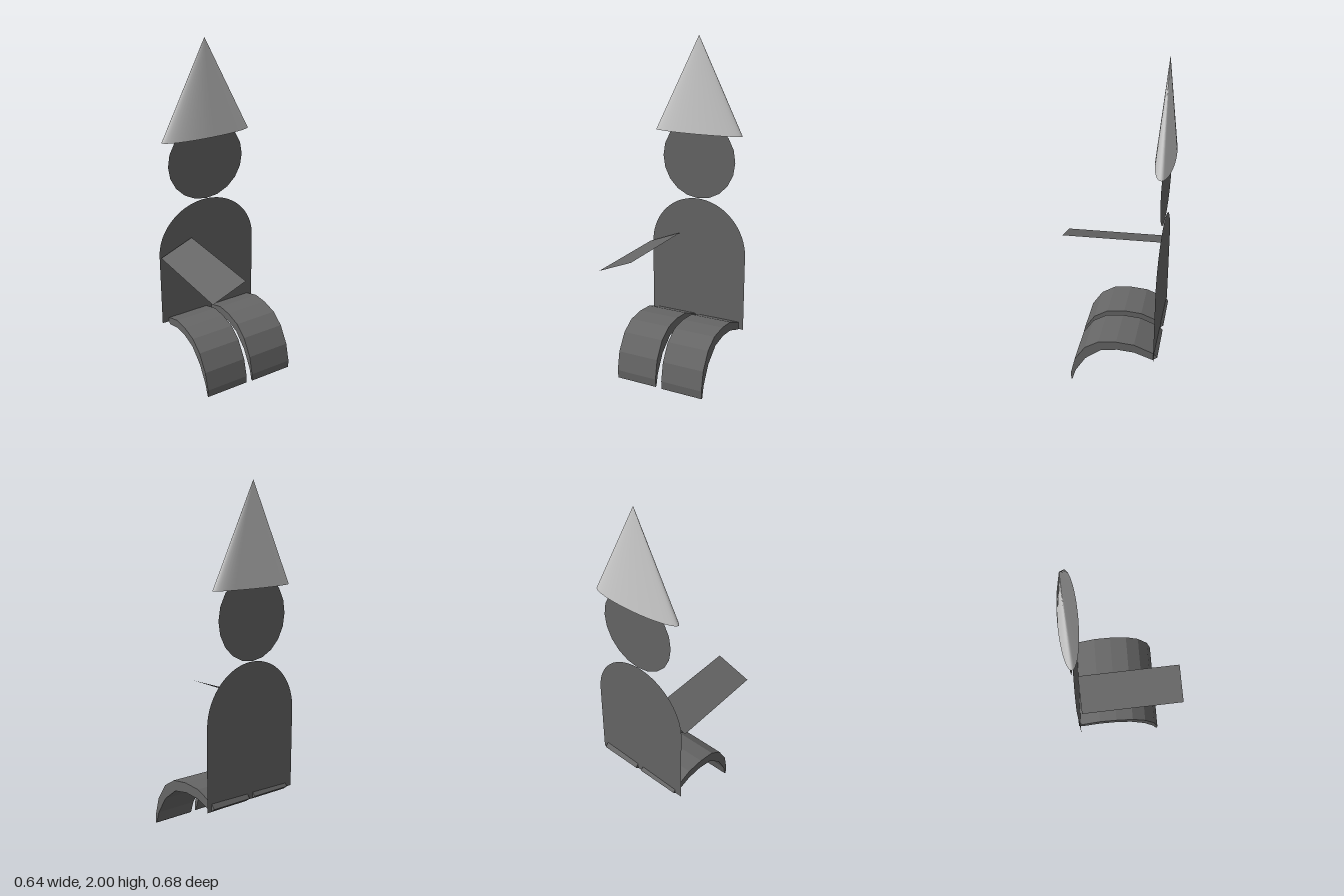
import * as THREE from 'three';

export function createModel() {
  const model = new THREE.Group();
  const light = new THREE.MeshStandardMaterial({ color: 0xcccccc });
  const dark = new THREE.MeshStandardMaterial({ color: 0x666666, side: THREE.DoubleSide });
  const legDark = new THREE.MeshStandardMaterial({ color: 0x666666, flatShading: true });
  const yaw = -0.034;
  const backZ = -0.29;

  function add(name, geometry, material, x, y, z) {
    const mesh = new THREE.Mesh(geometry, material);
    mesh.name = name;
    mesh.position.set(x, y, z);
    model.add(mesh);
    return mesh;
  }

  // Flattened pointed hat
  const hat = add('hat', new THREE.ConeGeometry(0.282, 0.56, 48), light, 0, 1.72, -0.284);
  hat.scale.z = 0.195;

  // Flat round head
  add('head', new THREE.CircleGeometry(0.242, 20), dark, 0, 1.281, backZ).rotation.y = yaw;

  // Flat torso with an arched top
  const torso = new THREE.Shape();
  torso.moveTo(-0.32, 0.245);
  torso.lineTo(0.32, 0.245);
  torso.lineTo(0.32, 0.717);
  torso.absarc(0, 0.717, 0.32, 0, Math.PI, false);
  torso.closePath();
  add('torso', new THREE.ShapeGeometry(torso, 24), dark, 0, 0, backZ).rotation.y = yaw;

  // Single thin arm held forward and tilted sideways
  const armGeometry = new THREE.PlaneGeometry(0.225, 0.608).rotateX(-Math.PI / 2).rotateZ(0.38);
  add('rightArm', armGeometry, dark, -0.212, 0.766, 0.03).rotation.y = 0.02;

  // Curved, tapering legs: side profile as [z, y], extruded across x
  const width = 0.263;
  const profile = [
    [-0.305, 0.26], [-0.285, 0.285], [-0.165, 0.333], [-0.058, 0.34], [0.048, 0.325],
    [0.13, 0.272], [0.194, 0.172], [0.22, 0.06], [0.217, 0.01],
    [0.21, 0.015], [0.19, 0.085], [0.128, 0.19], [0.035, 0.265],
    [-0.065, 0.284], [-0.165, 0.278], [-0.278, 0.238],
  ];
  const legShape = new THREE.Shape(profile.map(([z, y]) => new THREE.Vector2(z + 0.04, y - 0.17)));
  const legGeometry = new THREE.ExtrudeGeometry(legShape, { depth: width, bevelEnabled: false });
  legGeometry.translate(0, 0, -width / 2).rotateY(-Math.PI / 2);
  for (const [name, x, y, z] of [['rightLeg', -0.147, 0.166, -0.045], ['leftLeg', 0.155, 0.171, -0.039]]) {
    add(name, legGeometry, legDark, x, y, z).rotation.set(0, -0.022, 0.028);
  }

  return model;
}
